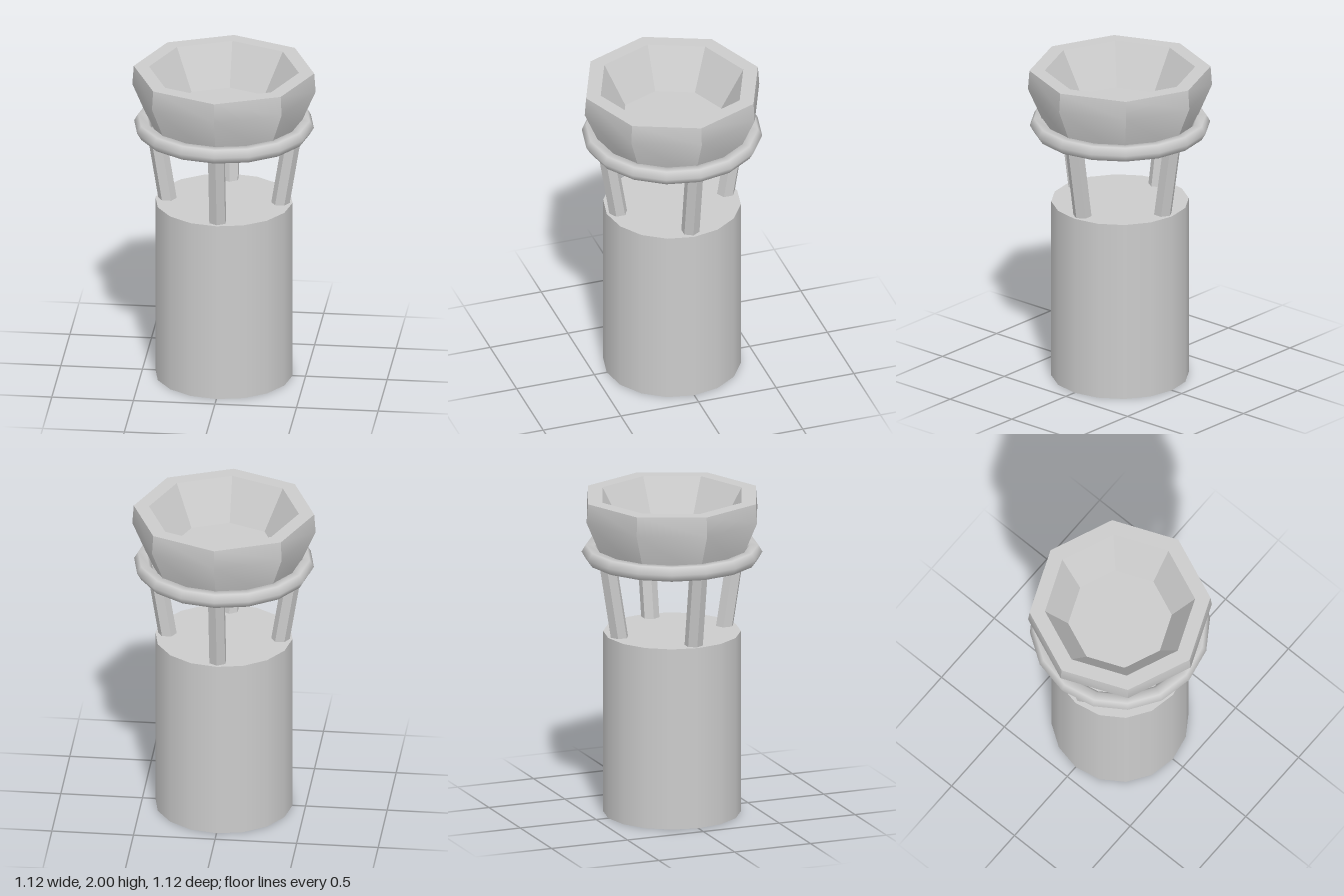
import * as THREE from 'three';
import { toCreasedNormals } from 'three/addons/utils/BufferGeometryUtils.js';

export function createModel() {
  const model = new THREE.Group();
  const grey = new THREE.MeshStandardMaterial({ color: 0xcccccc });
  const greyDouble = new THREE.MeshStandardMaterial({ color: 0xcccccc, side: THREE.DoubleSide });

  const add = (name, geometry, material = grey, parent = model) => {
    const mesh = new THREE.Mesh(geometry, material);
    mesh.name = name;
    parent.add(mesh);
    return mesh;
  };

  // Cylindrical base: smooth wall, closed on top, open underneath
  const baseRadius = 0.42, baseHeight = 1.14, sides = 16;
  const base = new THREE.Group();
  base.name = 'base';
  model.add(base);
  const wall = new THREE.CylinderGeometry(baseRadius, baseRadius, baseHeight, sides, 1, true);
  add('baseWall', wall, greyDouble, base).position.y = baseHeight / 2;
  const lid = new THREE.CircleGeometry(baseRadius, sides).rotateX(-Math.PI / 2);
  add('baseTop', lid, greyDouble, base).position.y = baseHeight;

  // Four six-sided struts leaning outwards, one on each axis
  const foot = new THREE.Vector3(0, 1.13, 0.345);
  const head = new THREE.Vector3(0, 1.62, 0.424);
  const lean = Math.atan2(head.z - foot.z, head.y - foot.y);
  const strutGeometry = toCreasedNormals(
    new THREE.CylinderGeometry(0.056, 0.056, foot.distanceTo(head), 6), 0.6);
  for (let i = 0; i < 4; i++) {
    const arm = new THREE.Group();
    arm.name = 'strutArm';
    arm.rotation.y = i * Math.PI / 2;
    model.add(arm);
    const strut = add('strut', strutGeometry, grey, arm);
    strut.position.copy(foot).lerp(head, 0.5);
    strut.rotation.x = lean;
  }

  // Ring around the bottom of the bowl
  const ring = new THREE.TorusGeometry(0.5, 0.051, 6, 16).rotateX(Math.PI / 2);
  add('ring', ring).position.y = 1.642;

  // Eight-sided bowl with a flat rim and a sunken floor
  const profile = [
    [0, 1.61], [0.445, 1.61], [0.562, 1.88], [0.553, 2],
    [0.459, 2], [0.317, 1.75], [0, 1.75],
  ].map(([r, y]) => new THREE.Vector2(r, y));
  add('bowl', toCreasedNormals(new THREE.LatheGeometry(profile, 8), 0.6));

  return model;
}
